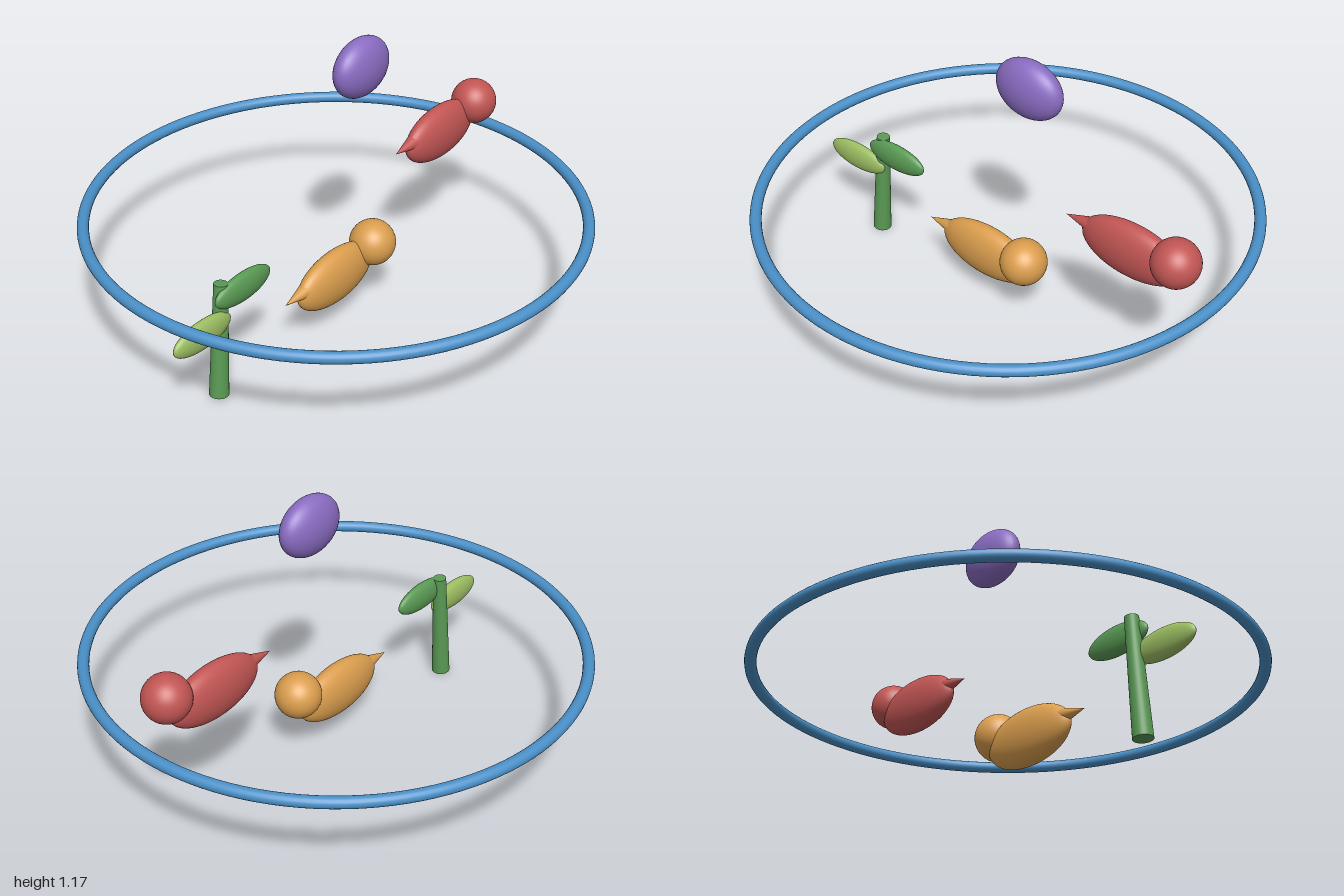
import * as THREE from 'three';

const mat = (name, color) => {
  const m = new THREE.MeshStandardMaterial({ color });
  m.name = name;
  return m;
};

function add(parent, name, geometry, material, x, y, z) {
  const mesh = new THREE.Mesh(geometry, material);
  mesh.name = name;
  mesh.position.set(x, y, z);
  parent.add(mesh);
  return mesh;
}

// Sphere stretched to the given radii
const ellipsoid = (rx, ry, rz) => new THREE.SphereGeometry(1, 40, 28).scale(rx, ry, rz);

// Bird flying towards +x: flat body, round head, pointed tail
function makeBird(name, material) {
  const bird = new THREE.Group();
  bird.name = name;
  add(bird, 'body', ellipsoid(0.225, 0.115, 0.063), material, 0, 0, 0);
  add(bird, 'head', ellipsoid(0.094, 0.094, 0.094), material, 0.209, 0.064, 0.026);
  const tail = new THREE.ConeGeometry(0.045, 0.178, 32).rotateZ(Math.PI / 2 + 0.06);
  add(bird, 'tail', tail, material, -0.216, 0.024, 0);
  return bird;
}

export function createModel() {
  const model = new THREE.Group();
  model.name = 'birdMobile';

  const blue = mat('ringBlue', 0x4a90c8);
  const red = mat('birdRed', 0xc25654);
  const orange = mat('birdOrange', 0xdb9e4e);
  const purple = mat('eggPurple', 0x8a6cc2);
  const green = mat('leafGreen', 0x5a9a54);
  const lightGreen = mat('leafLightGreen', 0x9cbe62);

  // Level hoop
  add(model, 'ring', new THREE.TorusGeometry(0.977, 0.023, 20, 120).rotateX(Math.PI / 2), blue, 0, 0.473, 0);

  // Floating egg
  add(model, 'egg', ellipsoid(0.149, 0.119, 0.072), purple, 0.123, 1.047, 0.024);

  // Two matching birds
  const upper = makeBird('upperBird', red);
  upper.position.set(0.631, 0.573, 0.048);
  const lower = makeBird('lowerBird', orange);
  lower.position.set(-0.067, 0.219, 0.048);
  model.add(upper, lower);

  // Sprig: leaning tapered stem with two leaves
  const sprig = new THREE.Group();
  sprig.name = 'sprig';
  const stem = new THREE.CylinderGeometry(0.027, 0.038, 0.475, 32).rotateZ(-0.073);
  add(sprig, 'stem', stem, green, -0.691, 0.24, 0);
  const leaf = ellipsoid(0.15, 0.06, 0.031);
  add(sprig, 'rightLeaf', leaf, lightGreen, -0.805, 0.334, 0.022);
  add(sprig, 'leftLeaf', leaf, green, -0.58, 0.425, 0.022);
  model.add(sprig);

  return model;
}
